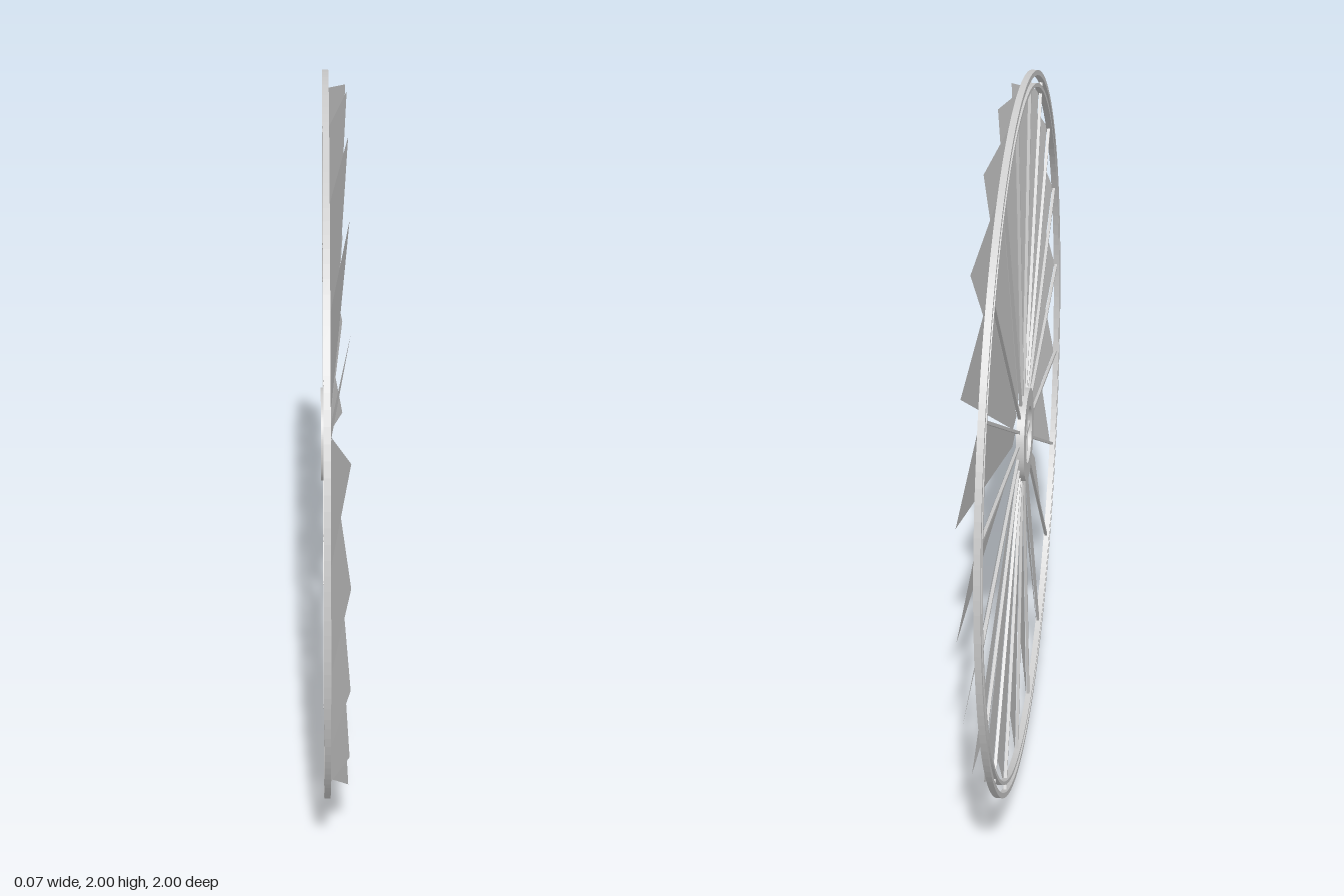
import * as THREE from 'three';

const BLADES = 20;
const STEP = (Math.PI * 2) / BLADES;

export function createModel() {
  const model = new THREE.Group();
  model.name = 'windWheel';
  const metal = new THREE.MeshStandardMaterial({ color: 0xcccccc });
  const sheet = new THREE.MeshStandardMaterial({ color: 0xcccccc, side: THREE.DoubleSide, flatShading: true });

  // The wheel is built facing +z, then turned so its axis lies along x
  const wheel = new THREE.Group();
  wheel.name = 'wheel';
  wheel.position.y = 1;
  wheel.rotation.y = Math.PI / 2;
  model.add(wheel);

  const add = (name, geometry, material = metal, parent = wheel) => {
    const mesh = new THREE.Mesh(geometry, material);
    mesh.name = name;
    parent.add(mesh);
    return mesh;
  };

  // Flat ring with square section between depths z0 and z1
  const ring = (name, inner, outer, z0, z1) => {
    const shape = new THREE.Shape().absarc(0, 0, outer, 0, Math.PI * 2);
    shape.holes.push(new THREE.Path().absarc(0, 0, inner, 0, Math.PI * 2, true));
    const geometry = new THREE.ExtrudeGeometry(shape, { depth: z1 - z0, bevelEnabled: false, curveSegments: 80 });
    add(name, geometry.translate(0, 0, z0));
  };
  ring('outerRim', 0.986, 1, -0.03, -0.013);
  ring('innerRim', 0.955, 0.965, -0.03, -0.013);
  ring('hubRing', 0.08, 0.13, -0.036, -0.014);

  // Cross bars inside the hub
  add('hubCrossBar', new THREE.BoxGeometry(0.17, 0.01, 0.014)).position.z = -0.024;
  add('hubCrossBar', new THREE.BoxGeometry(0.01, 0.17, 0.014)).position.z = -0.024;

  // Thin sail hinged on its spoke, with its free edge pitched forward
  const corner = (radius, free) => {
    const angle = free ? THREE.MathUtils.degToRad(15.2) : 0;
    return [radius * Math.sin(angle), radius * Math.cos(angle), -0.014 + (free ? 0.05 * radius : 0)];
  };
  const bladeGeometry = new THREE.BufferGeometry();
  bladeGeometry.setAttribute('position', new THREE.Float32BufferAttribute(
    [corner(0.15, false), corner(0.15, true), corner(0.965, true), corner(0.965, false)].flat(), 3));
  bladeGeometry.setIndex([0, 1, 2, 0, 2, 3]);
  bladeGeometry.computeVertexNormals();

  const spokeGeometry = new THREE.BoxGeometry(0.008, 0.87, 0.008).translate(0, 0.555, -0.02);

  for (let i = 0; i < BLADES; i++) {
    const unit = new THREE.Group();
    unit.name = 'bladeUnit';
    unit.rotation.z = (i + 0.5) * STEP;
    wheel.add(unit);
    add('blade', bladeGeometry, sheet, unit);
    add('spoke', spokeGeometry, metal, unit);
  }
  return model;
}
